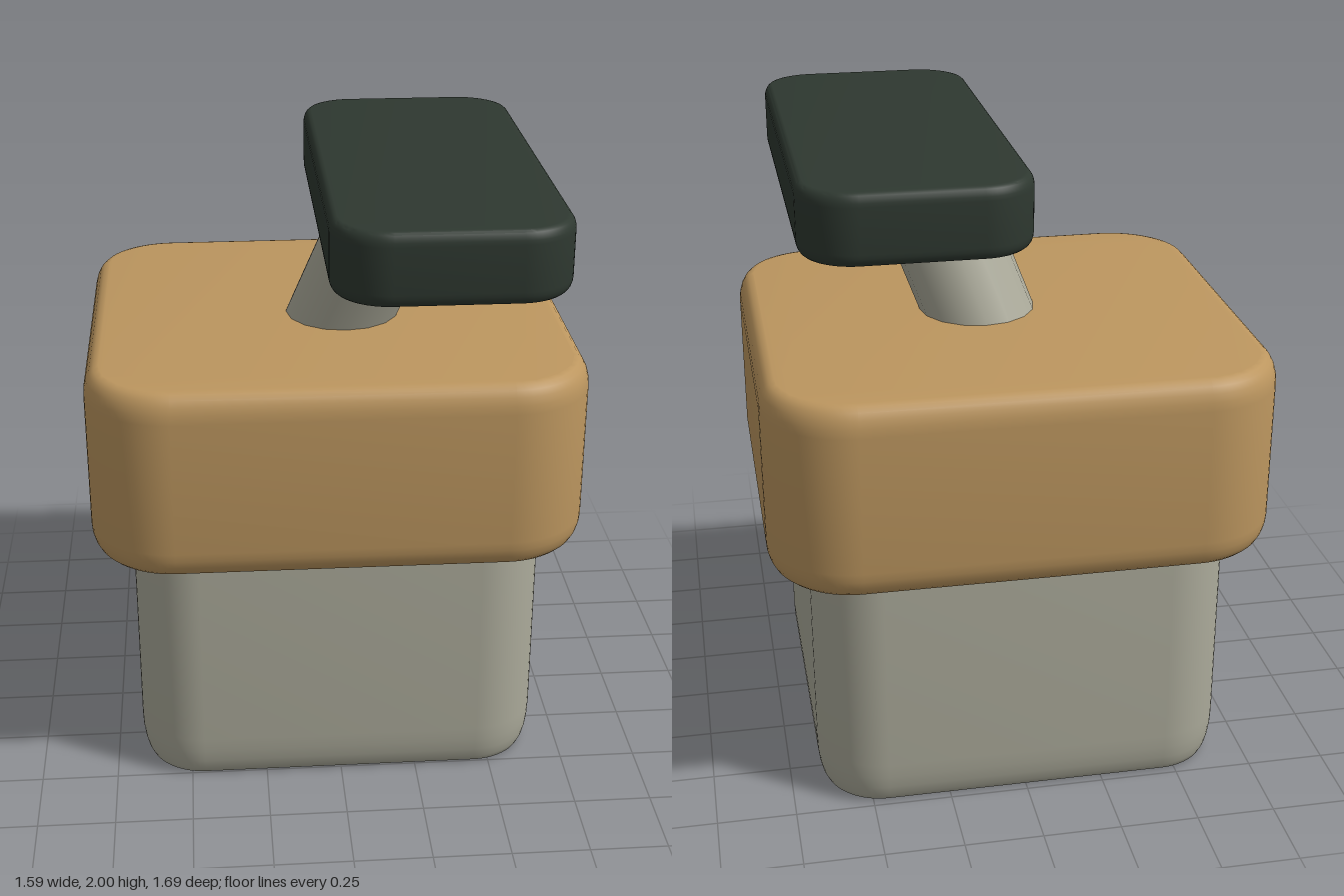
import * as THREE from 'three';
import { toCreasedNormals } from 'three/addons/utils/BufferGeometryUtils.js';

const stone = new THREE.MeshStandardMaterial({ name: 'warm grey', color: 0xabaa9a });
const wood = new THREE.MeshStandardMaterial({ name: 'tan', color: 0xbc965f });
const dark = new THREE.MeshStandardMaterial({ name: 'dark green', color: 0x2e3830 });

// Block with rounded corners in plan and softened top and bottom rims
function roundedBlock(name, material, [x0, x1], [y0, y1], [z0, z1], radius, inset, rise) {
  const w = (x1 - x0) / 2 - inset, d = (z1 - z0) / 2 - inset, r = radius - inset;
  const s = new THREE.Shape();
  s.absarc(w - r, d - r, r, 0, Math.PI / 2);
  s.absarc(-w + r, d - r, r, Math.PI / 2, Math.PI);
  s.absarc(-w + r, -d + r, r, Math.PI, Math.PI * 1.5);
  s.absarc(w - r, -d + r, r, Math.PI * 1.5, Math.PI * 2);
  s.closePath();
  const geometry = new THREE.ExtrudeGeometry(s, {
    depth: y1 - y0 - 2 * rise, curveSegments: 8,
    bevelEnabled: true, bevelSize: inset, bevelThickness: rise, bevelSegments: 5,
  });
  geometry.rotateX(-Math.PI / 2);
  geometry.translate((x0 + x1) / 2, y0 + rise, (z0 + z1) / 2);
  const mesh = new THREE.Mesh(toCreasedNormals(geometry, 0.6), material);
  mesh.name = name;
  return mesh;
}

// Cylinder sheared so that it leans while its ends stay level
function leaningPost(name, material, bottom, top, radius) {
  const h = top.y - bottom.y;
  const geometry = new THREE.CylinderGeometry(radius, radius, h, 16);
  const shear = new THREE.Matrix4().set(
    1, (top.x - bottom.x) / h, 0, (top.x + bottom.x) / 2,
    0, 1, 0, (top.y + bottom.y) / 2,
    0, (top.z - bottom.z) / h, 1, (top.z + bottom.z) / 2,
    0, 0, 0, 1);
  geometry.applyMatrix4(shear);
  const mesh = new THREE.Mesh(geometry, material);
  mesh.name = name;
  return mesh;
}

export function createModel() {
  const model = new THREE.Group();
  model.name = 'leverBlock';
  model.add(
    roundedBlock('base', stone, [-0.665, 0.66], [0, 1.0], [-0.755, 0.53], 0.21, 0.038, 0.15),
    roundedBlock('collar', wood, [-0.795, 0.79], [0.81, 1.43], [-0.845, 0.615], 0.27, 0.05, 0.09),
    leaningPost('post', stone, new THREE.Vector3(0.03, 1.39, -0.087), new THREE.Vector3(0.19, 1.82, 0.042), 0.187),
    roundedBlock('handle', dark, [-0.055, 0.65], [1.78, 2.0], [-0.645, 0.84], 0.17, 0.025, 0.04),
  );
  return model;
}
